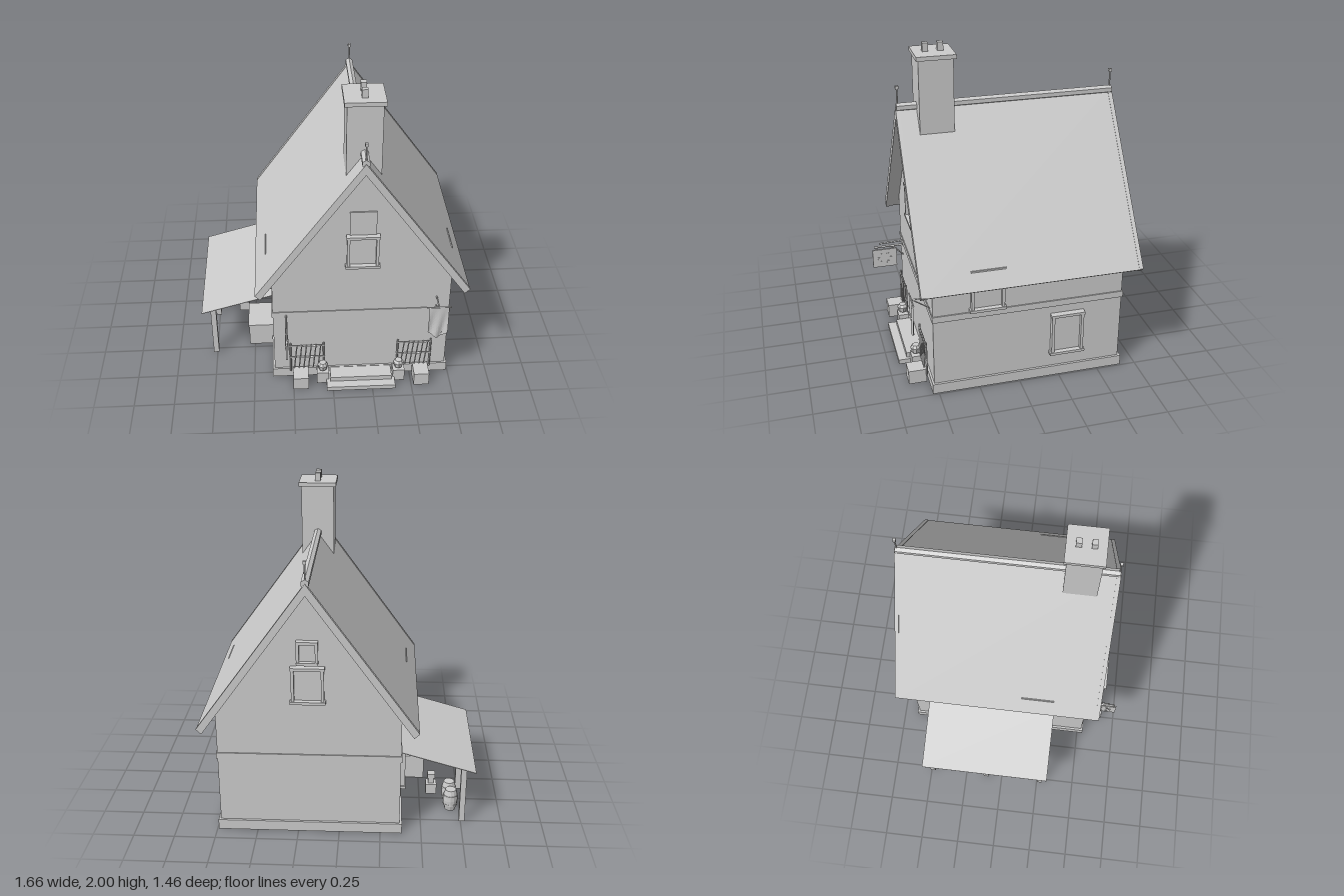
import * as THREE from 'three';

const stone = new THREE.MeshStandardMaterial({ color: 0xcccccc, side: THREE.DoubleSide, flatShading: true });
stone.name = 'plain grey';

const CX = 0.18; // centre line of the house
const FRONT = 0.525, BACK = -0.64, HALF = 0.548;

function add(parent, name, geometry) {
  const mesh = new THREE.Mesh(geometry, stone);
  mesh.name = name;
  parent.add(mesh);
  return mesh;
}

// Box given by its limits on each axis
function block(parent, name, x0, x1, y0, y1, z0, z1) {
  const mesh = add(parent, name, new THREE.BoxGeometry(x1 - x0, y1 - y0, z1 - z0));
  mesh.position.set((x0 + x1) / 2, (y0 + y1) / 2, (z0 + z1) / 2);
  return mesh;
}

// Square or round bar between two points
function bar(parent, name, a, b, r, sides = 4) {
  const p = new THREE.Vector3(...a), q = new THREE.Vector3(...b);
  const mesh = add(parent, name, new THREE.CylinderGeometry(r, r, p.distanceTo(q), sides));
  mesh.position.copy(p).add(q).multiplyScalar(0.5);
  mesh.quaternion.setFromUnitVectors(new THREE.Vector3(0, 1, 0), q.sub(p).normalize());
  return mesh;
}

// Outline in x and y pulled from z0 to z1
function prism(parent, name, points, z0, z1) {
  const shape = new THREE.Shape(points.map(([x, y]) => new THREE.Vector2(x, y)));
  const mesh = add(parent, name, new THREE.ExtrudeGeometry(shape, { depth: z1 - z0, bevelEnabled: false }));
  mesh.position.z = z0;
  return mesh;
}

// Framed window facing +z with its back on z = 0 and its sill at y = 0
function makeWindow(parent, name, w, h, depth, bottomSill = true) {
  const g = new THREE.Group();
  g.name = name;
  const t = 0.017;
  for (const s of [-1, 1]) {
    const x = s * (w / 2 - t / 2);
    block(g, 'windowJamb', x - t / 2, x + t / 2, t, h - t, 0, depth - 0.005);
  }
  const e = bottomSill ? 0.009 : 0;
  block(g, 'windowSill', -w / 2 - e, w / 2 + e, 0, t, 0, depth);
  block(g, 'windowLintel', -w / 2 - e / 2, w / 2 + e / 2, h - t, h, 0, depth);
  block(g, 'windowPane', -w / 2 + t, w / 2 - t, t, h - t, 0, 0.008);
  parent.add(g);
  return g;
}

function buildHouse(root) {
  const house = new THREE.Group();
  house.name = 'house';
  house.position.x = CX;
  root.add(house);

  // Walls with gables, plinth and string course
  prism(house, 'walls', [[-HALF, 0], [HALF, 0], [HALF, 0.805], [0, 1.566], [-HALF, 0.805]], BACK, FRONT);
  block(house, 'plinth', -0.562, 0.562, 0, 0.065, -0.655, 0.537);
  block(house, 'stringCourse', -0.555, 0.555, 0.49, 0.53, BACK - 0.007, FRONT + 0.005);

  // Roof slab and bargeboards share one chevron profile
  const chevron = (d) => [[0, 1.625 + d], [0.65, 0.722 + d], [0.618, 0.7 - d],
    [0, 1.562 - d], [-0.618, 0.7 - d], [-0.65, 0.722 + d]];
  prism(house, 'roof', chevron(0), -0.705, 0.583);
  prism(house, 'frontBargeboard', chevron(0.004), 0.58, 0.605);
  prism(house, 'backBargeboard', chevron(0.004), -0.725, -0.7);

  // Ridge cap and finials
  bar(house, 'ridgeCap', [0, 1.627, 0.6], [0, 1.627, -0.72], 0.025, 6);
  for (const z of [0.592, -0.71]) {
    bar(house, 'finialRod', [0, 1.62, z], [0, 1.74, z], 0.005, 6);
    block(house, 'finialKnob', -0.009, 0.009, 1.738, 1.756, z - 0.009, z + 0.009);
  }

  // Chimney
  block(house, 'chimney', -0.102, 0.102, 1.45, 1.925, 0.278, 0.482);
  block(house, 'chimneyCap', -0.117, 0.117, 1.925, 1.95, 0.263, 0.495);
  for (const z of [0.335, 0.423]) block(house, 'chimneyPot', -0.017, 0.017, 1.95, 2, z - 0.017, z + 0.017);

  // Side windows
  for (const s of [-1, 1]) {
    for (const [y, h, z] of [[0.16, 0.28, -0.295], [0.54, 0.28, 0.2]]) {
      const w = makeWindow(house, 'sideWindow', 0.2, h, 0.038);
      w.position.set(s * HALF, y, z);
      w.rotation.y = s * Math.PI / 2;
    }
  }

  // Gable windows and hatch
  makeWindow(house, 'frontGableWindow', 0.19, 0.23, 0.038).position.set(0, 0.875, FRONT);
  block(house, 'frontHatch', -0.079, 0.079, 1.105, 1.265, FRONT, FRONT + 0.009);
  const back = makeWindow(house, 'backGableWindow', 0.19, 0.23, 0.038);
  back.position.set(0, 0.875, BACK);
  back.rotation.y = Math.PI;
  const attic = makeWindow(house, 'atticWindow', 0.125, 0.145, 0.034, false);
  attic.position.set(0, 1.12, BACK);
  attic.rotation.y = Math.PI;
}

function buildEntrance(root) {
  block(root, 'lowerStep', -0.04, 0.395, 0, 0.03, 0.5, 0.685);
  block(root, 'upperStep', -0.015, 0.375, 0.03, 0.062, 0.5, 0.632);

  // Planter, trellis and lantern on each side
  for (const s of [-1, 1]) {
    const g = new THREE.Group();
    g.name = s < 0 ? 'rightEntranceSet' : 'leftEntranceSet';
    g.position.x = CX;
    root.add(g);
    const x = (a) => (s < 0 ? -a : a);
    const pair = (a, b) => [Math.min(x(a), x(b)), Math.max(x(a), x(b))];
    block(g, 'planter', ...pair(0.335, 0.432), 0, 0.09, 0.55, 0.66);
    block(g, 'lanternStand', ...pair(0.205, 0.28), 0, 0.085, 0.545, 0.612);
    const body = add(g, 'lantern', new THREE.CylinderGeometry(0.034, 0.026, 0.035, 8));
    body.position.set(x(0.242), 0.115, 0.58);
    const lid = add(g, 'lanternLid', new THREE.CylinderGeometry(0.022, 0.034, 0.018, 8));
    lid.position.set(x(0.242), 0.14, 0.58);
    for (const a of [0.235, 0.445]) bar(g, 'trellisPost', [x(a), 0.06, 0.55], [x(a), 0.29, 0.55], 0.006);
    for (const y of [0.175, 0.268]) bar(g, 'trellisRail', [x(0.228), y, 0.552], [x(0.452), y, 0.552], 0.007);
    for (let i = 0; i < 6; i++) {
      const a = x(0.265 + i * 0.03);
      bar(g, 'trellisSlat', [a - 0.008, 0.09, 0.56], [a + 0.012, 0.28, 0.555], 0.004);
    }
  }

  // Hanging sign on its bracket
  bar(root, 'signArm', [-0.287, 0.475, 0.52], [-0.287, 0.475, 0.72], 0.007);
  bar(root, 'signBrace', [-0.287, 0.505, 0.52], [-0.287, 0.5, 0.685], 0.006);
  bar(root, 'signStrut', [-0.287, 0.395, 0.52], [-0.287, 0.475, 0.6], 0.005);
  for (const z of [0.6, 0.7]) bar(root, 'signHanger', [-0.287, 0.445, z], [-0.287, 0.475, z], 0.003);
  block(root, 'signBoard', -0.293, -0.281, 0.325, 0.455, 0.57, 0.732);
  for (let i = 0; i < 6; i++) {
    const a = i * Math.PI / 3;
    const y = 0.39 + 0.033 * Math.sin(a), z = 0.65 + 0.04 * Math.cos(a);
    block(root, 'signStud', -0.297, -0.277, y - 0.008, y + 0.008, z - 0.008, z + 0.008);
  }

  // Banner with a rippled, pointed cloth
  bar(root, 'bannerArm', [0.645, 0.615, 0.52], [0.645, 0.615, 0.64], 0.005);
  bar(root, 'bannerBrace', [0.645, 0.54, 0.52], [0.645, 0.612, 0.625], 0.004);
  bar(root, 'bannerRod', [0.57, 0.615, 0.632], [0.722, 0.615, 0.632], 0.005, 6);
  const cloth = new THREE.PlaneGeometry(0.122, 1, 10, 10);
  const p = cloth.attributes.position;
  for (let i = 0; i < p.count; i++) {
    const u = p.getX(i), t = 0.5 - p.getY(i);
    const length = 0.245 - 0.045 * Math.abs(u) / 0.061;
    p.setXYZ(i, u, -t * length, 0.007 * t * Math.sin(u * 90 + t * 3));
  }
  add(root, 'bannerCloth', cloth).position.set(0.647, 0.615, 0.632);
}

function buildLeanTo(root) {
  const g = new THREE.Group();
  g.name = 'leanTo';
  root.add(g);

  // Thin sloping roof on posts and a beam
  prism(g, 'leanToRoof', [[-0.83, 0.357], [-0.36, 0.492], [-0.36, 0.496], [-0.83, 0.361]], -0.53, 0.315);
  block(g, 'leanToBeam', -0.775, -0.74, 0.342, 0.37, -0.505, 0.29);
  for (const z of [-0.49, -0.11, 0.27]) block(g, 'leanToPost', -0.775, -0.74, 0, 0.365, z - 0.017, z + 0.017);

  // Barrels
  const profile = [[0, 0], [0.034, 0], [0.044, 0.04], [0.046, 0.07], [0.044, 0.1], [0.034, 0.14], [0, 0.14]]
    .map(([x, y]) => new THREE.Vector2(x, y));
  for (const [x, z] of [[-0.693, -0.36], [-0.688, -0.262]]) {
    add(g, 'barrel', new THREE.LatheGeometry(profile, 12)).position.set(x, 0, z);
    for (const y of [0.04, 0.1]) {
      const hoop = add(g, 'barrelHoop', new THREE.CylinderGeometry(0.046, 0.046, 0.01, 12));
      hoop.position.set(x, y, z);
    }
  }

  // Chopping stand and chest
  block(g, 'standBase', -0.613, -0.543, 0, 0.07, -0.2, -0.13);
  block(g, 'standNeck', -0.595, -0.56, 0.07, 0.11, -0.183, -0.147);
  block(g, 'standTop', -0.602, -0.553, 0.11, 0.14, -0.19, -0.14);
  block(g, 'chest', -0.535, -0.365, 0, 0.155, 0.0, 0.22);
  block(g, 'chestLid', -0.54, -0.365, 0.155, 0.167, -0.005, 0.225);
}

export function createModel() {
  const root = new THREE.Group();
  root.name = 'cottage';
  buildHouse(root);
  buildEntrance(root);
  buildLeanTo(root);
  return root;
}
